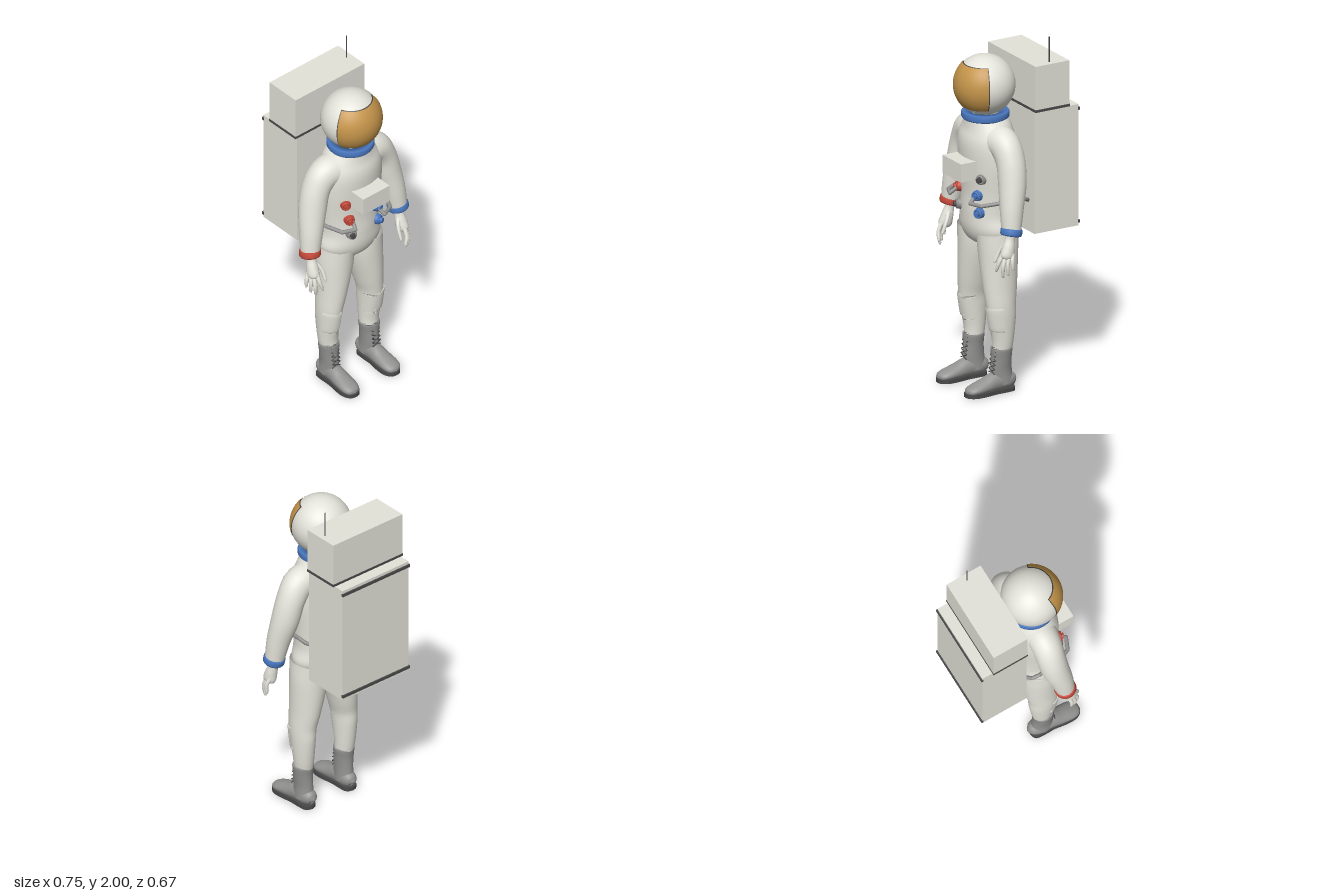
import * as THREE from 'three';

const mat = (name, color, side = THREE.FrontSide) => {
  const m = new THREE.MeshStandardMaterial({ color, side });
  m.name = name;
  return m;
};

export function createModel() {
  const white = mat('suit white', 0xe4e3da, THREE.DoubleSide);
  const grey = mat('boot grey', 0x929291);
  const dark = mat('dark rubber', 0x4a4a4a);
  const gold = mat('visor gold', 0xc4944a);
  const blue = mat('blue', 0x4a78c0);
  const red = mat('red', 0xc4483a);

  const model = new THREE.Group();
  model.name = 'astronaut';
  const V = (x, y, z) => new THREE.Vector3(x, y, z);
  const add = (name, geo, material, x = 0, y = 0, z = 0, parent = model) => {
    const m = new THREE.Mesh(geo, material);
    m.name = name;
    m.position.set(x, y, z);
    parent.add(m);
    return m;
  };
  const box = (name, material, x0, x1, y0, y1, z0, z1) =>
    add(name, new THREE.BoxGeometry(x1 - x0, y1 - y0, z1 - z0), material, (x0 + x1) / 2, (y0 + y1) / 2, (z0 + z1) / 2);

  // Smooth skin through elliptical sections [x, y, z, width radius, depth radius]
  function loft(points, { ref = V(0, 0, 1), a0 = 0, a1 = Math.PI * 2, steps = 6, sides = 32 } = {}) {
    const path = new THREE.CatmullRomCurve3(points.map(p => V(p[0], p[1], p[2])), false, 'catmullrom');
    const radii = new THREE.CatmullRomCurve3(points.map(p => V(p[3], p[4], 0)), false, 'catmullrom');
    const rows = (points.length - 1) * steps, full = a1 - a0 > 6.28;
    const cols = full ? sides : sides + 1;
    const pos = [], idx = [];
    for (let i = 0; i <= rows; i++) {
      const c = path.getPoint(i / rows), r = radii.getPoint(i / rows), t = path.getTangent(i / rows);
      const e1 = ref.clone().addScaledVector(t, -ref.dot(t)).normalize();
      const e2 = t.clone().cross(e1);
      for (let j = 0; j < cols; j++) {
        const a = a0 + (a1 - a0) * j / sides;
        const p = c.clone().addScaledVector(e2, r.x * Math.cos(a)).addScaledVector(e1, r.y * Math.sin(a));
        pos.push(p.x, p.y, p.z);
        if (i < rows && j < sides) {
          const k = (j + 1) % cols, A = i * cols + j, B = i * cols + k, C = A + cols, D = B + cols;
          idx.push(A, C, B, B, C, D);
        }
      }
    }
    const g = new THREE.BufferGeometry();
    g.setAttribute('position', new THREE.Float32BufferAttribute(pos, 3));
    g.setIndex(idx);
    g.computeVertexNormals();
    return g;
  }

  // Straight rod between two points
  function bar(name, a, b, r, material, parent = model) {
    const d = b.clone().sub(a);
    const m = add(name, new THREE.CylinderGeometry(r, r, d.length(), 10), material, 0, 0, 0, parent);
    m.position.copy(a).add(b).multiplyScalar(0.5);
    m.quaternion.setFromUnitVectors(V(0, 1, 0), d.normalize());
  }

  // Rounded ring band with a flat outer wall
  const band = (r, h, w) => new THREE.LatheGeometry(
    [[r - w, -h], [r - 0.005, -h], [r, -h * 0.6], [r, h * 0.6], [r - 0.005, h], [r - w, h], [r - w, -h]]
      .map(p => new THREE.Vector2(...p)), 40);

  // Torso
  add('torso', loft([
    [0, 0.80, 0.10, 0.04, 0.05], [0, 0.84, 0.10, 0.15, 0.10], [0, 0.91, 0.105, 0.197, 0.132],
    [0, 1.0, 0.105, 0.18, 0.138], [0, 1.12, 0.105, 0.186, 0.134], [0, 1.28, 0.107, 0.2, 0.143],
    [0, 1.4, 0.11, 0.195, 0.145], [0, 1.48, 0.112, 0.165, 0.128], [0, 1.55, 0.12, 0.115, 0.112]]), white);

  // Helmet, visor and neck ring
  add('helmet', new THREE.SphereGeometry(0.168, 48, 32), white, 0, 1.717, 0.125);
  const patch = (r, phi, t0, t1) => {
    const d = Math.PI / 180;
    return new THREE.SphereGeometry(r, 40, 24, (90 - phi) * d, 2 * phi * d, t0 * d, (t1 - t0) * d);
  };
  add('visorRim', patch(0.1695, 69, 41.5, 134), dark, 0, 1.717, 0.125);
  add('visor', patch(0.172, 67, 43.5, 132), gold, 0, 1.717, 0.125);
  add('neckRing', band(0.131, 0.02, 0.04), blue, 0, 1.55, 0.12);

  // Backpack
  box('lifeSupportPack', white, -0.236, 0.236, 0.895, 1.59, -0.326, -0.048);
  box('packSeam', dark, -0.25, 0.25, 1.592, 1.606, -0.264, -0.046);
  box('oxygenPack', white, -0.247, 0.247, 1.606, 1.855, -0.262, -0.048);
  for (const y of [0.92, 1.565]) box('packStrip', dark, -0.24, 0.24, y - 0.008, y + 0.008, -0.334, -0.322);
  bar('antenna', V(0.213, 1.85, -0.155), V(0.213, 2, -0.155), 0.003, dark);

  // Chest control box
  box('chestBox', white, -0.095, 0.095, 1.216, 1.32, 0.235, 0.333);

  // Hose connectors on the chest
  const connectors = [[-0.118, 1.23, 0.212, red], [-0.098, 1.122, 0.22, red], [-0.088, 1.025, 0.225, grey],
    [0.115, 1.22, 0.212, grey], [0.09, 1.122, 0.222, blue], [0.102, 1.025, 0.218, blue]];
  for (const [x, y, z, m] of connectors) {
    const g = new THREE.Group();
    g.name = 'connector';
    g.position.set(x, y, z);
    g.quaternion.setFromUnitVectors(V(0, 1, 0), V(x * 4, 0, 1).normalize());
    model.add(g);
    add('connectorBase', new THREE.CylinderGeometry(0.028, 0.031, 0.02, 20), m, 0, 0.006, 0, g);
    add('connectorCollar', new THREE.TorusGeometry(0.021, 0.006, 8, 20).rotateX(Math.PI / 2), m, 0, 0.02, 0, g);
    add('connectorPlug', new THREE.CylinderGeometry(0.015, 0.015, 0.04, 16), m === grey ? dark : m, 0, 0.018, 0, g);
  }

  for (const s of [1, -1]) {
    const side = s > 0 ? 'left' : 'right';
    const mir = pts => pts.map(([x, ...rest]) => [x * s, ...rest]);

    // Arm
    add(side + 'Arm', loft(mir([
      [0.09, 1.425, 0.112, 0.095, 0.095], [0.18, 1.412, 0.107, 0.09, 0.085], [0.236, 1.335, 0.104, 0.08, 0.08],
      [0.267, 1.22, 0.112, 0.078, 0.077], [0.296, 1.09, 0.134, 0.066, 0.065], [0.315, 0.965, 0.148, 0.053, 0.053]])), white);
    const cuff = add(side + 'Cuff', band(0.06, 0.02, 0.03), s > 0 ? blue : red, 0.316 * s, 0.968, 0.148);
    cuff.rotation.set(-0.2, 0, 0.08 * s);

    // Hand with thumb and fingers
    add(side + 'Palm', loft(mir([
      [0.314, 0.975, 0.147, 0.03, 0.03], [0.315, 0.93, 0.155, 0.025, 0.027], [0.318, 0.88, 0.168, 0.033, 0.034],
      [0.323, 0.83, 0.18, 0.03, 0.038], [0.325, 0.808, 0.186, 0.004, 0.006]]), { sides: 20 }), white);
    const fingers = [
      [[0.305, 0.91, 0.165], [0.278, 0.865, 0.195], [0.272, 0.80, 0.225]],
      [[0.315, 0.85, 0.20], [0.313, 0.80, 0.225], [0.298, 0.755, 0.232]],
      [[0.325, 0.84, 0.19], [0.335, 0.78, 0.212], [0.328, 0.725, 0.208]],
      [[0.335, 0.84, 0.175], [0.347, 0.79, 0.19], [0.345, 0.738, 0.187]],
      [[0.337, 0.85, 0.155], [0.355, 0.81, 0.165], [0.356, 0.765, 0.163]]];
    fingers.forEach(([a, b, c], i) => {
      add(side + (i ? 'Finger' : 'Thumb'), loft(mir([
        [...a, 0.013, 0.013], [...b, 0.011, 0.011], [...c, 0.008, 0.008],
        [c[0], c[1] - 0.008, c[2], 0.001, 0.001]]), { sides: 10, steps: 4 }), white);
    });

    // Leg with shin pocket
    add(side + 'Leg', loft(mir([
      [0.143, 0.22, 0.105, 0.05, 0.054], [0.147, 0.3, 0.10, 0.056, 0.062], [0.148, 0.42, 0.105, 0.064, 0.08],
      [0.145, 0.5, 0.11, 0.069, 0.086], [0.13, 0.6, 0.108, 0.081, 0.098], [0.107, 0.78, 0.105, 0.102, 0.112],
      [0.10, 0.9, 0.105, 0.098, 0.12]])), white);
    const arc = s > 0 ? { a0: 0.3, a1: 1.8 } : { a0: Math.PI - 1.8, a1: Math.PI - 0.3 };
    add(side + 'ShinPocket', loft(mir([
      [0.148, 0.355, 0.102, 0.058, 0.068], [0.148, 0.362, 0.102, 0.066, 0.078], [0.148, 0.42, 0.105, 0.070, 0.086],
      [0.146, 0.486, 0.109, 0.074, 0.091], [0.146, 0.492, 0.109, 0.066, 0.083]]), { ...arc, sides: 16 }), white);

    // Boot shaft, foot and sole
    add(side + 'BootShaft', loft(mir([
      [0.143, 0.05, 0.10, 0.05, 0.062], [0.143, 0.12, 0.108, 0.047, 0.062], [0.145, 0.19, 0.108, 0.052, 0.058],
      [0.145, 0.245, 0.107, 0.058, 0.06], [0.145, 0.252, 0.107, 0.05, 0.052]])), grey);
    add(side + 'BootFoot', loft(mir([
      [0.142, 0.045, 0.027, 0.002, 0.002], [0.142, 0.05, 0.034, 0.03, 0.032], [0.142, 0.06, 0.07, 0.046, 0.05],
      [0.144, 0.06, 0.15, 0.047, 0.054], [0.146, 0.048, 0.21, 0.051, 0.043], [0.148, 0.036, 0.28, 0.052, 0.03],
      [0.148, 0.028, 0.318, 0.036, 0.02], [0.148, 0.025, 0.331, 0.002, 0.002]]), { ref: V(0, 1, 0) }), grey);
    const outline = new THREE.Shape(new THREE.SplineCurve([
      [0, 0.028], [0.036, 0.045], [0.043, 0.1], [0.043, 0.16], [0.053, 0.23], [0.052, 0.29], [0.03, 0.326], [0, 0.334],
      [-0.03, 0.326], [-0.052, 0.29], [-0.053, 0.23], [-0.043, 0.16], [-0.043, 0.1], [-0.036, 0.045], [0, 0.028]]
      .map(([x, z]) => new THREE.Vector2(x, z))).getPoints(56));
    const sole = new THREE.ExtrudeGeometry(outline, { depth: 0.022, bevelEnabled: false });
    sole.rotateX(Math.PI / 2);
    add(side + 'Sole', sole, dark, 0.146 * s, 0.022, 0);

    // Crossed laces
    const laces = new THREE.Group();
    laces.name = side + 'Laces';
    model.add(laces);
    for (let i = 0; i < 5; i++) {
      const y = 0.112 + i * 0.025, z = 0.182 - i * 0.003, x = 0.145 * s;
      for (const k of [1, -1])
        bar('lace', V(x - 0.028 * k, y, z - 0.012), V(x + 0.028 * k, y + 0.025, z - 0.012), 0.003, dark, laces);
    }

    // Hose from chest to backpack
    const hose = new THREE.Group();
    hose.name = side + 'Hose';
    model.add(hose);
    const h = mir([[0.092, 1.118, 0.245], [0.105, 1.09, 0.28], [0.172, 1.088, 0.25], [0.212, 1.1, 0.16],
      [0.225, 1.11, 0.04], [0.218, 1.1, 0.0], [0.165, 1.07, -0.05]]).map(p => V(...p));
    for (let i = 0; i < h.length - 1; i++) {
      bar('hoseSection', h[i], h[i + 1], 0.011, grey, hose);
      add('hoseJoint', new THREE.SphereGeometry(0.011, 10, 8), grey, h[i].x, h[i].y, h[i].z, hose);
    }
  }
  return model;
}
